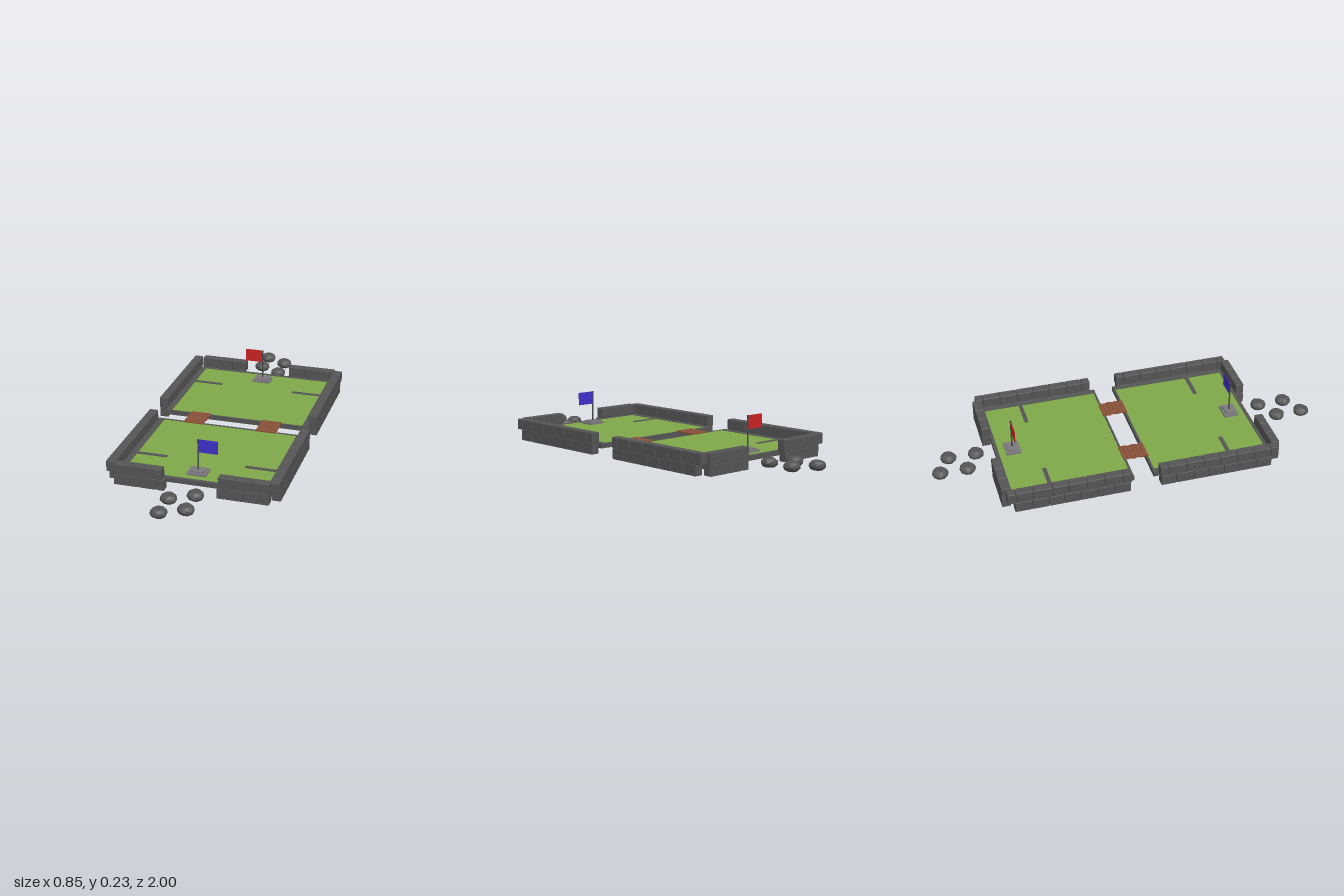
import * as THREE from 'three';
import { RoundedBoxGeometry } from 'three/addons/geometries/RoundedBoxGeometry.js';

const mat = (name, color) => {
  const m = new THREE.MeshStandardMaterial({ color });
  m.name = name;
  return m;
};

export function createModel() {
  const stone = mat('stone', 0x555555);
  const grass = mat('grass', 0x7fa94a);
  const wood = mat('wood', 0x8a5138);
  const plinth = mat('plinth stone', 0x7c7a7c);
  const iron = mat('pole metal', 0x4a4a4a);
  const red = mat('red cloth', 0xcc2222);
  const blue = mat('blue cloth', 0x4030cc);
  const model = new THREE.Group();
  model.name = 'arena';

  let seed = 7;
  const rand = () => (seed = (seed * 16807) % 2147483647) / 2147483647;

  const add = (parent, name, geometry, material, x = 0, y = 0, z = 0) => {
    const mesh = new THREE.Mesh(geometry, material);
    mesh.name = name;
    mesh.position.set(x, y, z);
    parent.add(mesh);
    return mesh;
  };
  // Box given by its two opposite corners
  const block = (parent, name, material, x0, x1, y0, y1, z0, z1, bevel = 0) => {
    const w = Math.abs(x1 - x0), h = Math.abs(y1 - y0), d = Math.abs(z1 - z0);
    const g = bevel ? new RoundedBoxGeometry(w, h, d, 1, bevel) : new THREE.BoxGeometry(w, h, d);
    return add(parent, name, g, material, (x0 + x1) / 2, (y0 + y1) / 2, (z0 + z1) / 2);
  };

  // One course of chipped bricks between a and b, along x or z
  const course = (parent, axis, a, b, c0, c1, y0, y1, count, shift) => {
    const step = (b - a) / count;
    const cuts = [a];
    for (let i = 1; i < count + (shift ? 1 : 0); i++) cuts.push(a + step * (i - shift) + (rand() - 0.5) * 0.012);
    cuts.push(b);
    for (let i = 0; i < cuts.length - 1; i++) {
      const p = cuts[i] + 0.0007, q = cuts[i + 1] - 0.0007;
      if (axis === 'x') block(parent, 'brick', stone, p, q, y0, y1, c0, c1, 0.003);
      else block(parent, 'brick', stone, c0, c1, y0, y1, p, q, 0.003);
    }
  };

  // Flattened faceted boulder
  const boulder = (parent, x, z) => {
    const g = new THREE.IcosahedronGeometry(1, 1).toNonIndexed();
    const p = g.attributes.position;
    const phase = rand() * 6;
    for (let i = 0; i < p.count; i++) {
      const X = p.getX(i), Y = p.getY(i), Z = p.getZ(i);
      const k = 1 + 0.06 * Math.sin(3 * X + phase) * Math.cos(4 * Z + 2 * Y + phase);
      p.setXYZ(i, X * k * 0.041, Math.max(-0.8, Math.min(0.8, Y * k)) * 0.028, Z * k * 0.041);
    }
    g.computeVertexNormals();
    add(parent, 'boulder', g, stone, x, 0.031, z);
  };

  // One half of the arena; s is the side of z it lies on
  const half = (name, s, ends, cloth) => {
    const group = new THREE.Group();
    group.name = name;
    model.add(group);

    // Lawn with its stone border
    block(group, 'lawn', grass, -0.352, 0.352, 0.043, 0.052, s * 0.058, s * 0.652);
    for (const x of [-1, 1]) block(group, 'sideBorder', stone, x * 0.35, x * 0.382, 0.03, 0.054, s * 0.05, s * 0.668);
    block(group, 'innerBorder', stone, -0.35, 0.35, 0.03, 0.054, s * 0.05, s * 0.061);
    block(group, 'outerBorder', stone, -0.35, 0.35, 0.03, 0.054, s * 0.65, s * 0.668);

    for (const x of [-1, 1]) {
      // Low stone divider and its footing under the lawn
      block(group, 'divider', stone, x * 0.197, x * 0.35, 0.046, 0.055, s * 0.45, s * 0.47);
      block(group, 'dividerFooting', stone, x * 0.09, x * 0.35, 0.032, 0.044, s * 0.435, s * 0.485);

      // Side wall, two courses
      const wall = new THREE.Group();
      wall.name = 'sideWall';
      group.add(wall);
      const run = (from, to, y0, y1, shift) =>
        course(wall, 'z', Math.min(s * from, s * to), Math.max(s * from, s * to), x * 0.378, x * 0.423, y0, y1, 7, shift);
      run(0.078, 0.655, 0, 0.055, 0);
      run(0.073, 0.69, 0.055, 0.109, 0.5);
    }

    // End walls either side of the gateway
    for (const [a, b] of ends) {
      const wall = new THREE.Group();
      wall.name = 'endWall';
      group.add(wall);
      const inner = Math.sign(a) * 0.128;
      const low = a < 0 ? [a, inner] : [inner, b];
      course(wall, 'x', low[0], low[1], s * 0.665, s * 0.708, 0, 0.055, 3, 0.5);
      course(wall, 'x', a, b, s * 0.665, s * 0.708, 0.055, 0.109, 3, 0);
    }

    // Flag on a stepped plinth
    const flag = new THREE.Group();
    flag.name = 'flag';
    flag.position.z = s * 0.578;
    group.add(flag);
    block(flag, 'plinthBase', plinth, -0.048, 0.048, 0.05, 0.062, -0.038, 0.038);
    block(flag, 'plinthStep', plinth, -0.034, 0.034, 0.062, 0.07, -0.026, 0.026);
    add(flag, 'pole', new THREE.CylinderGeometry(0.004, 0.004, 0.16, 8), iron, 0, 0.148, 0);
    block(flag, 'cloth', cloth, s * 0.002, s * 0.096, 0.16, 0.227, -0.0015, 0.0015);

    // Stepping boulders outside the gateway
    for (const [x, z] of [[0.043, 0.758], [-0.066, 0.82], [0.043, 0.898], [-0.066, 0.957]]) boulder(group, x, s * z);
  };

  half('frontHalf', 1, [[-0.38, -0.138], [0.134, 0.38]], blue);
  half('backHalf', -1, [[-0.37, -0.118], [0.126, 0.38]], red);

  // Two plank bridges over the channel
  for (const x of [-1, 1]) {
    const bridge = new THREE.Group();
    bridge.name = 'bridge';
    bridge.position.x = x * 0.191;
    model.add(bridge);
    for (let i = 0; i < 6; i++) {
      const z = -0.065 + i * 0.0217, e = (rand() - 0.5) * 0.006;
      block(bridge, 'plank', wood, -0.052 + e, 0.052 + e, 0.052, 0.058, z + 0.0008, z + 0.0209);
    }
    for (const r of [-1, 1]) block(bridge, 'beam', wood, r * 0.03, r * 0.042, 0.047, 0.053, -0.06, 0.06);
  }
  return model;
}
